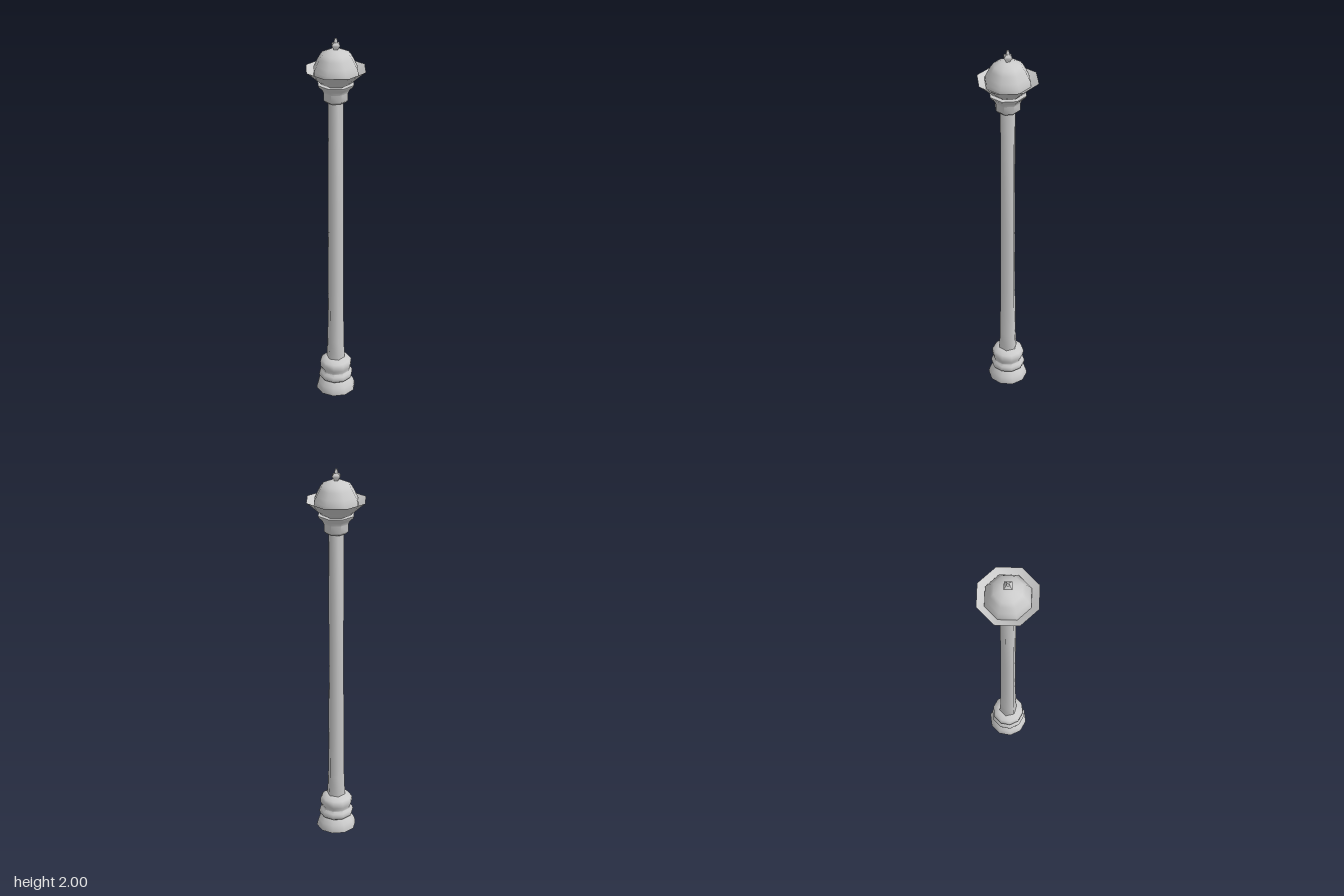
import * as THREE from 'three';
import { toCreasedNormals } from 'three/addons/utils/BufferGeometryUtils.js';

const material = new THREE.MeshStandardMaterial({ color: 0xcccccc, side: THREE.DoubleSide });

// Turned part: profile of [radius, height] from bottom to top
function turned(name, profile, sides, start, crease = 0.85, scale = 1) {
  const points = profile.map(([r, y]) => new THREE.Vector2(r * scale, y));
  const geometry = new THREE.LatheGeometry(points, sides, start);
  const mesh = new THREE.Mesh(toCreasedNormals(geometry, crease), material);
  mesh.name = name;
  return mesh;
}

export function createModel() {
  const group = new THREE.Group();
  group.name = 'streetLamp';
  const corner = Math.PI / 2;

  // Ten-sided foot, open underneath, with a bell and two rings
  group.add(turned('base', [
    [0.105, 0], [0.104, 0.015], [0.096, 0.04], [0.076, 0.066],
    [0.088, 0.076], [0.092, 0.09], [0.088, 0.105], [0.077, 0.116], [0.077, 0.124],
    [0.085, 0.14], [0.086, 0.165], [0.078, 0.178], [0.05, 0.194], [0.03, 0.194],
  ], 10, corner));

  // Six-sided tapering post
  group.add(turned('post', [
    [0.05, 0.19], [0.045, 0.3], [0.042, 0.58], [0.04, 0.95], [0.0395, 1.69],
  ], 6, corner, 1.1));

  // Octagonal lamp head; profiles give the distance to the flat sides
  const flat = 1 / Math.cos(Math.PI / 8);
  const octagon = (name, profile) => group.add(turned(name, profile, 8, Math.PI / 8, 0.85, flat));
  octagon('collar', [
    [0.03, 1.676], [0.047, 1.676], [0.06, 1.69], [0.06, 1.728],
    [0.068, 1.745], [0.084, 1.762], [0.088, 1.772], [0.04, 1.772],
  ]);
  octagon('dish', [
    [0.04, 1.765], [0.066, 1.77], [0.085, 1.79], [0.122, 1.826], [0.144, 1.846],
    [0.104, 1.822],
  ]);
  octagon('dome', [
    [0.108, 1.82], [0.107, 1.845], [0.096, 1.87], [0.08, 1.903],
    [0.066, 1.925], [0.03, 1.942], [0, 1.944],
  ]);

  // Four-sided finial
  group.add(turned('finial', [
    [0.014, 1.935], [0.014, 1.947], [0.028, 1.965], [0.026, 1.972],
    [0.012, 1.98], [0.013, 1.985], [0.007, 2], [0, 2],
  ], 4, 0));
  return group;
}
